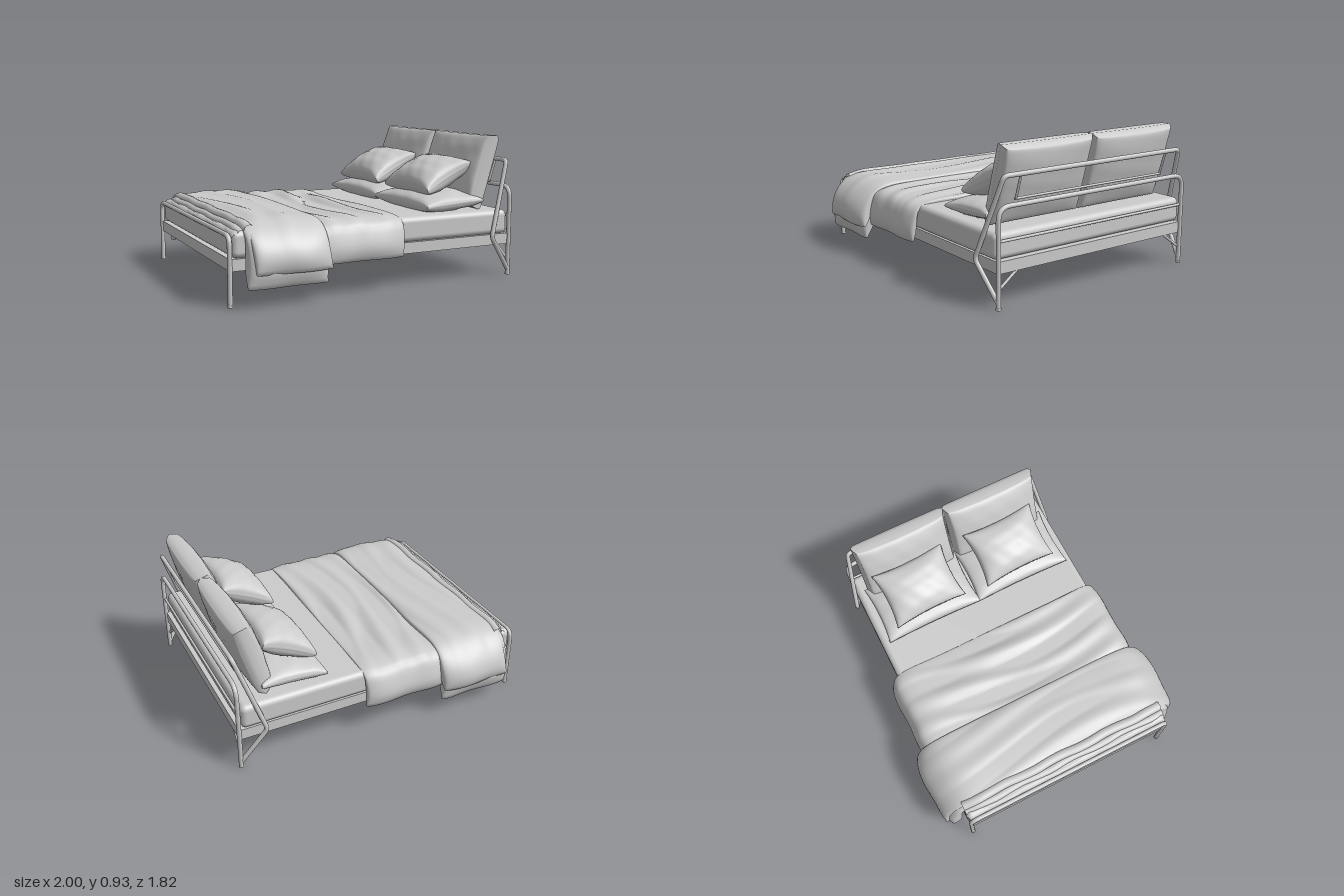
import * as THREE from 'three';
import { RoundedBoxGeometry } from 'three/addons/geometries/RoundedBoxGeometry.js';

const V = (x, y, z) => new THREE.Vector3(x, y, z);

export function createModel() {
  const group = new THREE.Group();
  const material = new THREE.MeshStandardMaterial({ color: 0xcccccc, side: THREE.DoubleSide });

  function add(name, geometry, x = 0, y = 0, z = 0) {
    const mesh = new THREE.Mesh(geometry, material);
    mesh.name = name;
    mesh.position.set(x, y, z);
    group.add(mesh);
    return mesh;
  }

  // Tube through straight runs with rounded corners
  function tube(name, pts, r = 0.015, corner = 0.08) {
    const path = new THREE.CurvePath();
    let from = pts[0];
    for (let i = 1; i < pts.length - 1; i++) {
      const p = pts[i];
      const a = p.clone().add(pts[i - 1].clone().sub(p).setLength(corner));
      const b = p.clone().add(pts[i + 1].clone().sub(p).setLength(corner));
      path.add(new THREE.LineCurve3(from, a));
      path.add(new THREE.QuadraticBezierCurve3(a, p, b));
      from = b;
    }
    path.add(new THREE.LineCurve3(from, pts[pts.length - 1]));
    return add(name, new THREE.TubeGeometry(path, pts.length > 2 ? 200 : 1, r, 12, false));
  }

  // Hoop: half path given on the +z side, mirrored to -z
  const hoop = (name, half, corner) =>
    tube(name, [...half, ...half.map(p => V(p.x, p.y, -p.z)).reverse()], 0.015, corner);

  // Soft pillow: bulging box with pinched sides.
  // e = edge thickness, p = bulge power, under = thickness of the lower half relative to the upper
  function pillow(name, w, t, d, { e = 0.1, p = 0.42, pinch = 0.07, wrinkle = 0.004, under = 1 } = {}) {
    const g = new THREE.BoxGeometry(2, 2, 2, 26, 2, 26);
    const pos = g.attributes.position;
    for (let i = 0; i < pos.count; i++) {
      const u = Math.sin(pos.getX(i) * Math.PI / 2), v = Math.sin(pos.getZ(i) * Math.PI / 2);
      const h = pos.getY(i);
      const f = Math.pow(Math.max(0, (1 - u * u) * (1 - v * v)), p);
      const side = h === 0 ? 1 + 0.3 * e * t / w : 1;
      const fold = wrinkle * Math.sin(9 * u + 5 * v) * Math.sin(7 * v - 3 * u) * f;
      pos.setXYZ(i,
        u * w * side * (1 - pinch * (1 - v * v)),
        h * (t * (e + (1 - e) * f) + fold) * (h < 0 ? under : 1),
        v * d * side * (1 - pinch * (1 - u * u)));
    }
    g.computeVertexNormals();
    return add(name, g);
  }

  // Padded cover hanging over both sides; outer is half a section as [z, y], centre to hem
  function drape(name, x0, x1, outer, inner, amp, seed) {
    const nx = 56, ns = 72;
    const full = half => new THREE.CatmullRomCurve3([
      ...half.slice(1).reverse().map(([z, y]) => V(0, y, z)),
      ...half.map(([z, y]) => V(0, y, -z))], false, 'centripetal').getSpacedPoints(ns);
    const out = full(outer), inn = full(inner);
    const verts = [], index = [], row = 2 * (ns + 1);
    for (let i = 0; i <= nx; i++) {
      const t = i / nx, c = (1 - Math.cos(Math.PI * t)) / 2;
      const puff = Math.pow(Math.sin(Math.PI * t), 0.4);
      for (let k = 0; k < row; k++) {
        const top = k <= ns, j = top ? k : row - 1 - k;
        const q = inn[j].clone();
        const hem = Math.abs(2 * j / ns - 1);
        if (top) q.lerp(out[j], i % nx ? puff : 0);
        const x = x0 + (x1 - x0) * c;
        // Long soft folds running across the bed, fading at the edges
        if (top) {
          const s = Math.sin(34 * x + 2.2 * Math.sin(3.1 * q.z + seed) + seed);
          const s2 = Math.sin(15 * x - 4 * q.z + 2 * seed);
          q.y += amp * Math.max(-0.2, s * 0.6 + s2 * 0.5) * puff * (1 - hem * hem);
        }
        const wave = 0.007 * hem * hem;
        q.z += wave * Math.sin(16 * x + seed) * Math.sign(q.z);
        verts.push(x + wave * Math.sin(9 * q.z + 14 * q.y + seed), q.y, q.z);
      }
    }
    for (let i = 0; i < nx; i++) for (let k = 0; k < row; k++) {
      const a = i * row + k, c = i * row + (k + 1) % row;
      index.push(a, a + row, c, a + row, c + row, c);
    }
    const g = new THREE.BufferGeometry();
    g.setAttribute('position', new THREE.Float32BufferAttribute(verts, 3));
    g.setIndex(index);
    g.computeVertexNormals();
    return add(name, g);
  }

  // Bed base with the deck recessed to the top of the rails
  for (const s of [-1, 1]) {
    add('sideRail', new THREE.BoxGeometry(1.95, 0.072, 0.022), 0, 0.247, s * 0.732);
    add('endRail', new THREE.BoxGeometry(0.022, 0.072, 1.47), s * 0.972, 0.247, 0);
  }
  add('deck', new THREE.BoxGeometry(1.94, 0.01, 1.46), 0, 0.277, 0);
  add('mattress', new RoundedBoxGeometry(1.935, 0.162, 1.5, 5, 0.038), -0.003, 0.363, 0);

  // Tubular foot end and head end
  hoop('footHoop', [V(-0.983, 0, 0.74), V(-0.983, 0.42, 0.74)], 0.06);
  hoop('headHoop', [V(0.983, 0, 0.74), V(0.983, 0.598, 0.74)], 0.08);
  hoop('backrestHoop', [V(0.98, 0.04, 0.74), V(0.815, 0.27, 0.785), V(0.98, 0.77, 0.7)], 0.03);
  tube('headCrossBar', [V(0.98, 0.4, 0.735), V(0.98, 0.4, -0.735)], 0.009);
  tube('cushionRail', [V(0.932, 0.618, 0.59), V(0.932, 0.618, -0.59)], 0.008);
  for (const s of [-1, 1]) {
    tube('cushionPost', [V(0.93, 0.612, s * 0.58), V(0.98, 0.77, s * 0.58)], 0.008);
    tube('cornerBrace', [V(0.975, 0.11, s * 0.74), V(0.97, 0.22, s * 0.59)], 0.009);
    for (const x of [-0.983, 0.983]) {
      add('footCap', new THREE.CylinderGeometry(0.016, 0.016, 0.016, 12), x, 0.008, s * 0.74);
    }
  }

  // Covers: thin blanket, then two thick layers near the foot
  drape('blanket', -0.42, 0.145,
    [[0, 0.463], [0.4, 0.463], [0.7, 0.46], [0.775, 0.43], [0.815, 0.35], [0.83, 0.27], [0.81, 0.21]],
    [[0, 0.438], [0.4, 0.438], [0.7, 0.438], [0.755, 0.41], [0.77, 0.33], [0.775, 0.27], [0.79, 0.215]],
    0.025, 1);
  drape('duvetUnderLayer', -0.9, -0.4,
    [[0, 0.475], [0.4, 0.475], [0.7, 0.47], [0.79, 0.43], [0.86, 0.32], [0.88, 0.2], [0.85, 0.115]],
    [[0, 0.438], [0.4, 0.438], [0.7, 0.438], [0.755, 0.41], [0.77, 0.3], [0.785, 0.2], [0.83, 0.12]],
    0.015, 2);
  drape('duvetFold', -0.872, -0.39,
    [[0, 0.495], [0.4, 0.495], [0.7, 0.485], [0.8, 0.435], [0.88, 0.345], [0.903, 0.26], [0.885, 0.2]],
    [[0, 0.45], [0.4, 0.45], [0.7, 0.45], [0.77, 0.41], [0.81, 0.33], [0.83, 0.26], [0.865, 0.205]],
    0.012, 4);
  // Gathered folds along the foot edge
  for (const [x, y, r] of [[-0.942, 0.422, 0.022], [-0.908, 0.44, 0.028], [-0.868, 0.462, 0.034]]) {
    const pts = [];
    for (let i = 0; i <= 14; i++) {
      const z = -0.74 + 1.48 * i / 14;
      pts.push(V(x + 0.006 * Math.sin(i * 1.7 + x * 40), y - (i % 14 ? 0 : 0.02), z));
    }
    add('footEdgeFold', new THREE.TubeGeometry(new THREE.CatmullRomCurve3(pts), 48, r, 12));
  }

  // Two sets of cushions, one for each sleeper
  for (const s of [-1, 1]) {
    const z = s * 0.345;
    // Leans on the sloping hoop, flatter behind than in front
    const back = pillow('backCushion', 0.238, 0.115, 0.318,
      { e: 0.46, p: 0.4, pinch: 0.012, wrinkle: 0.003, under: 0.66 });
    back.position.set(0.845, 0.69, s * 0.337);
    back.rotation.z = Math.PI / 2 - 0.29;

    const flat = pillow('sleepingPillow', 0.215, 0.08, 0.35, { pinch: 0.05 });
    flat.position.set(0.585, 0.495, z + 0.002);
    flat.rotation.z = 0.06;

    const scatter = pillow('scatterPillow', 0.195, 0.11, 0.262, { pinch: 0.09 });
    scatter.position.set(0.592, 0.66, z - 0.005);
    scatter.rotation.set(0, 0.04, 0.45);
  }

  return group;
}
